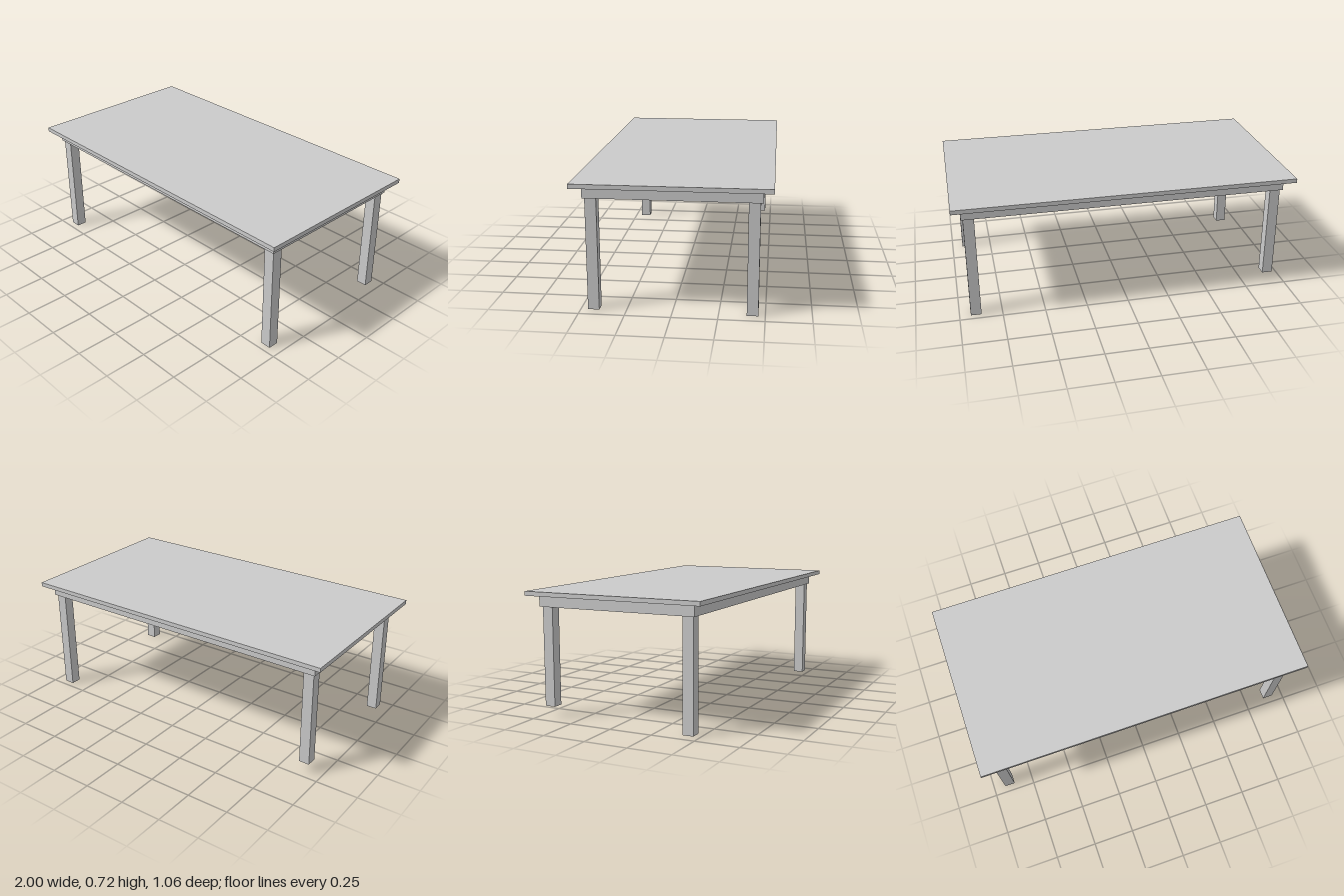
import * as THREE from 'three';

export function createModel() {
  const group = new THREE.Group();
  group.name = 'table';
  const material = new THREE.MeshStandardMaterial({ color: 0xcccccc, flatShading: true });

  // Box given by its minimum and maximum along each axis
  function slab(name, [x0, x1], [y0, y1], [z0, z1]) {
    const mesh = new THREE.Mesh(new THREE.BoxGeometry(x1 - x0, y1 - y0, z1 - z0), material);
    mesh.name = name;
    mesh.position.set((x0 + x1) / 2, (y0 + y1) / 2, (z0 + z1) / 2);
    group.add(mesh);
  }

  // Table top
  const under = 0.692;
  slab('tableTop', [-1, 1], [under, 0.717], [-0.532, 0.532]);

  // Thin apron boards forming an open frame beneath the top
  const apronX = [-0.942, 0.946], apronZ = [-0.477, 0.473];
  const apronY = [0.628, under], t = 0.018;
  slab('frontApron', apronX, apronY, [apronZ[1] - t, apronZ[1]]);
  slab('backApron', apronX, apronY, [apronZ[0], apronZ[0] + t]);
  const between = [apronZ[0] + t, apronZ[1] - t];
  slab('leftApron', [apronX[1] - t, apronX[1]], apronY, between);
  slab('rightApron', [apronX[0], apronX[0] + t], apronY, between);

  // Square legs; the back right one sits higher, up inside the frame
  for (const sx of [-1, 1]) {
    for (const sz of [-1, 1]) {
      const lift = sx < 0 && sz < 0 ? 0.063 : 0;
      const x = sx < 0 ? [-0.929, -0.867] : [0.873, 0.935];
      const z = sz < 0 ? [-0.463, -0.401] : [0.399, 0.461];
      const name = (sz > 0 ? 'front' : 'back') + (sx > 0 ? 'Left' : 'Right') + 'Leg';
      slab(name, x, [lift, 0.628 + lift], z);
    }
  }
  return group;
}
